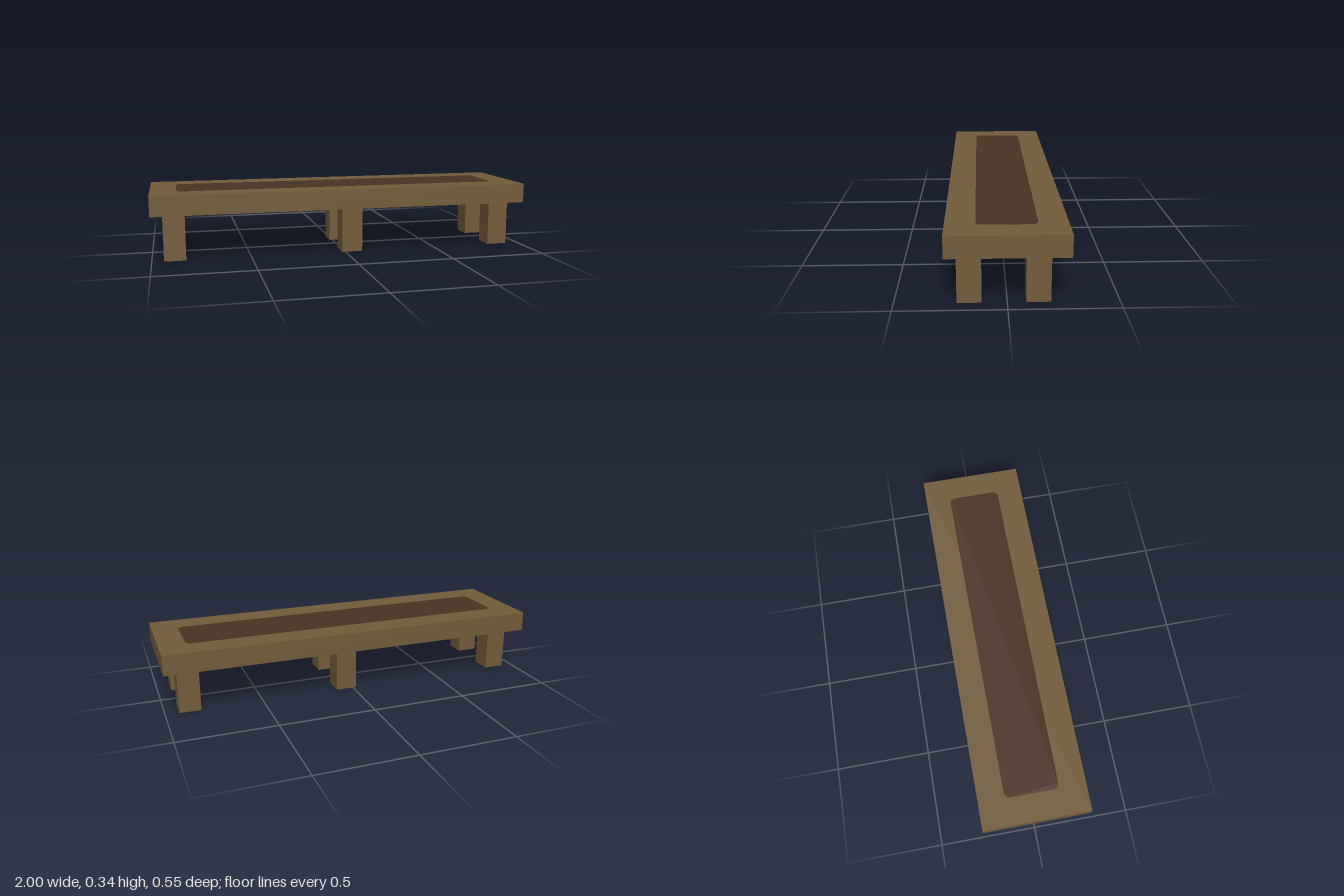
import * as THREE from 'three';

const wood = new THREE.MeshStandardMaterial({ color: 0x735c3b, side: THREE.DoubleSide });
wood.name = 'wood';
const darkInlay = new THREE.MeshStandardMaterial({ color: 0x4a3222 });
darkInlay.name = 'dark inlay';

const LEG = 0.11, LEG_HEIGHT = 0.238, TOP = 0.341;

// Square leg, a hollow sleeve open at the foot
function legGeometry() {
  const g = new THREE.CylinderGeometry(LEG / Math.SQRT2, LEG / Math.SQRT2, LEG_HEIGHT, 4, 1, true).toNonIndexed();
  g.rotateY(Math.PI / 4);
  g.computeVertexNormals();
  return g;
}

// Rectangle with rounded corners, centred on the origin
function roundedRect(w, h, r) {
  const s = new THREE.Shape();
  const x = w / 2 - r, y = h / 2 - r;
  s.absarc(x, y, r, 0, Math.PI / 2);
  s.absarc(-x, y, r, Math.PI / 2, Math.PI);
  s.absarc(-x, -y, r, Math.PI, Math.PI * 1.5);
  s.absarc(x, -y, r, Math.PI * 1.5, Math.PI * 2);
  s.closePath();
  return s;
}

export function createModel() {
  const table = new THREE.Group();
  table.name = 'lowTable';

  // Thick top slab
  const slab = new THREE.Mesh(new THREE.BoxGeometry(2, TOP - LEG_HEIGHT, 0.548), wood);
  slab.name = 'tableTop';
  slab.position.y = (TOP + LEG_HEIGHT) / 2;
  table.add(slab);

  // Thin dark panel on the top
  const inlay = new THREE.Mesh(
    new THREE.ExtrudeGeometry(roundedRect(1.73, 0.276, 0.03), { depth: 0.002, bevelEnabled: false, curveSegments: 6 }),
    darkInlay);
  inlay.name = 'topInlay';
  inlay.rotation.x = -Math.PI / 2;
  inlay.position.set(0, TOP - 0.001, -0.001);
  table.add(inlay);

  // Three pairs of legs, slightly off centre
  const geometry = legGeometry();
  for (const [xName, x] of [['right', -0.885], ['middle', 0.038], ['left', 0.875]]) {
    for (const [zName, z] of [['Front', 0.168], ['Back', -0.139]]) {
      const leg = new THREE.Mesh(geometry, wood);
      leg.name = xName + zName + 'Leg';
      leg.position.set(x, LEG_HEIGHT / 2, z);
      table.add(leg);
    }
  }
  return table;
}
